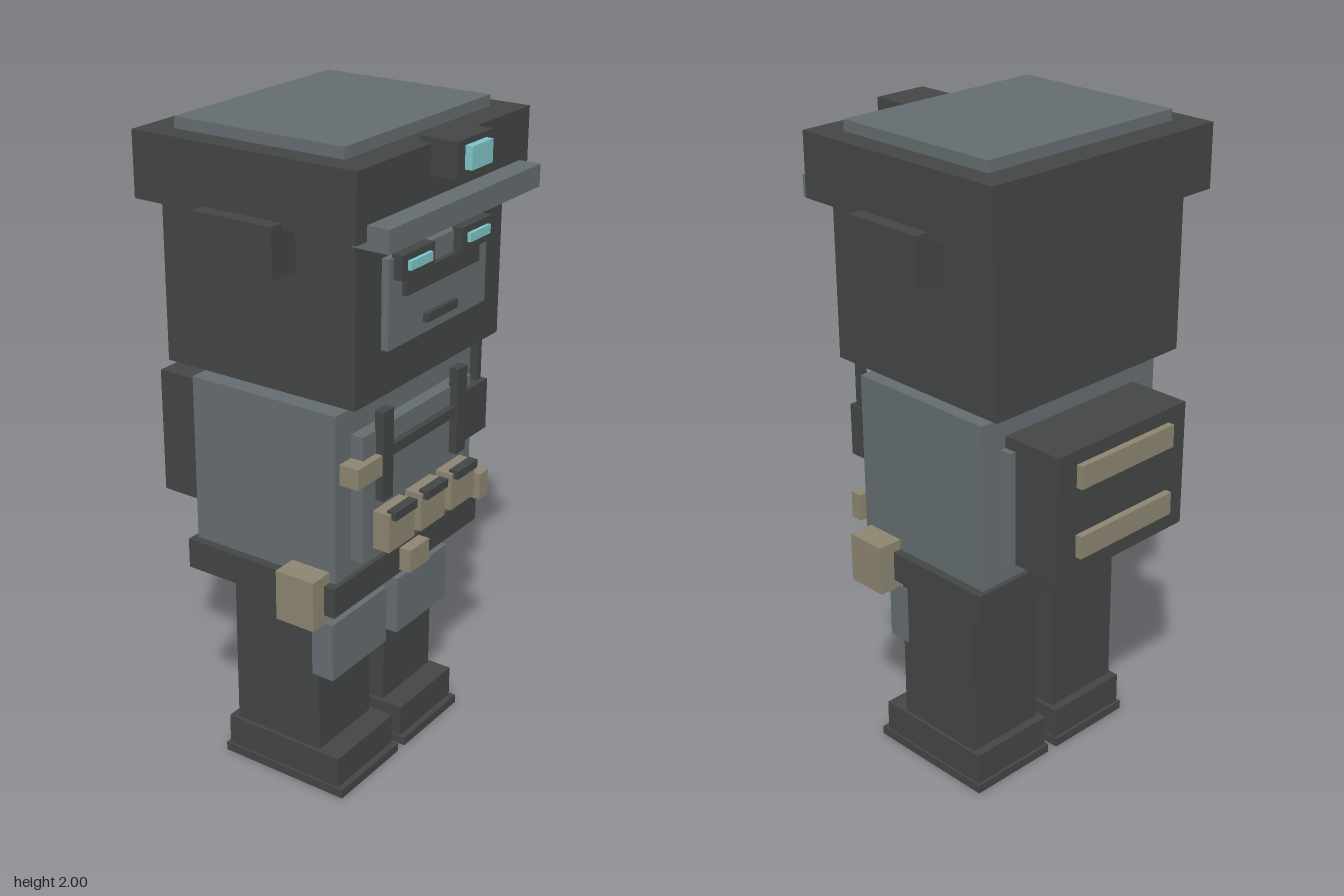
import * as THREE from 'three';

const material = (name, color) => {
  const m = new THREE.MeshStandardMaterial({ color });
  m.name = name;
  return m;
};

export function createModel() {
  const dark = material('charcoal', 0x434645);
  const grey = material('slate grey', 0x656d70);
  const tan = material('khaki', 0x8d8571);
  const glow = material('pale cyan', 0x7fc6ca);

  const model = new THREE.Group();
  model.name = 'blockFigure';
  const section = (name) => {
    const g = new THREE.Group();
    g.name = name;
    model.add(g);
    return g;
  };

  // Box given by its extents along each axis
  const box = (parent, name, mat, [x0, x1], [y0, y1], [z0, z1]) => {
    const mesh = new THREE.Mesh(new THREE.BoxGeometry(x1 - x0, y1 - y0, z1 - z0), mat);
    mesh.position.set((x0 + x1) / 2, (y0 + y1) / 2, (z0 + z1) / 2);
    mesh.name = name;
    parent.add(mesh);
  };
  // Box centred on x = 0
  const mid = (parent, name, mat, half, y, z) => box(parent, name, mat, [-half, half], y, z);
  // Mirrored pair of boxes, given by the +x one
  const pair = (parent, name, mat, [x0, x1], y, z) => {
    box(parent, name + 'Left', mat, [x0, x1], y, z);
    box(parent, name + 'Right', mat, [-x1, -x0], y, z);
  };

  // Legs and boots
  const legs = section('legs');
  pair(legs, 'sole', dark, [0.018, 0.32], [0, 0.028], [-0.19, 0.25]);
  pair(legs, 'boot', dark, [0.024, 0.313], [0.028, 0.128], [-0.18, 0.23]);
  pair(legs, 'leg', dark, [0.038, 0.302], [0.128, 0.66], [-0.152, 0.154]);
  pair(legs, 'kneePad', grey, [0.03, 0.307], [0.39, 0.577], [0.133, 0.207]);

  // Belt
  const belt = section('belt');
  mid(belt, 'beltBand', dark, 0.38, [0.655, 0.748], [-0.262, 0.265]);
  mid(belt, 'buckle', tan, 0.051, [0.665, 0.738], [0.262, 0.303]);
  pair(belt, 'hipPouch', tan, [0.29, 0.432], [0.625, 0.78], [0.1, 0.23]);

  // Torso and vest
  const torso = section('torso');
  mid(torso, 'chest', grey, 0.353, [0.745, 1.26], [-0.247, 0.25]);
  mid(torso, 'vestPlate', grey, 0.28, [0.795, 1.182], [0.245, 0.29]);
  pair(torso, 'strap', dark, [0.167, 0.217], [0.97, 1.24], [0.285, 0.315]);
  mid(torso, 'chestStrap', dark, 0.167, [1.092, 1.124], [0.287, 0.31]);
  for (const x of [-0.163, 0, 0.163]) {
    box(torso, 'pouch', tan, [x - 0.065, x + 0.065], [0.822, 0.94], [0.285, 0.345]);
    box(torso, 'pouchFlap', dark, [x - 0.055, x + 0.055], [0.922, 0.948], [0.33, 0.36]);
  }
  box(torso, 'shoulderTab', tan, [-0.335, -0.217], [1.05, 1.112], [0.245, 0.312]);
  box(torso, 'sideTool', tan, [0.3, 0.347], [0.77, 0.855], [0.285, 0.323]);
  box(torso, 'radio', dark, [0.2, 0.35], [0.99, 1.15], [0.248, 0.306]);
  box(torso, 'antenna', dark, [0.32, 0.343], [1.15, 1.32], [0.262, 0.287]);

  // Backpack
  const pack = section('backpack');
  mid(pack, 'backPlate', grey, 0.282, [0.8, 1.167], [-0.285, -0.245]);
  mid(pack, 'packBody', dark, 0.262, [0.815, 1.203], [-0.447, -0.247]);
  for (const y of [0.911, 1.126]) {
    mid(pack, 'packStrap', tan, 0.19, [y - 0.035, y + 0.035], [-0.468, -0.445]);
  }

  // Head and face
  const head = section('head');
  mid(head, 'neck', dark, 0.115, [1.25, 1.31], [-0.113, 0.115]);
  mid(head, 'skull', dark, 0.367, [1.298, 1.78], [-0.32, 0.322]);
  pair(head, 'earPiece', dark, [0.36, 0.469], [1.65, 1.795], [-0.13, 0.132]);
  mid(head, 'facePlate', grey, 0.247, [1.435, 1.69], [0.318, 0.345]);
  mid(head, 'browBar', dark, 0.185, [1.575, 1.63], [0.34, 0.36]);
  pair(head, 'eyeFrame', dark, [0.07, 0.226], [1.63, 1.7], [0.34, 0.373]);
  pair(head, 'eye', glow, [0.095, 0.201], [1.655, 1.681], [0.37, 0.384]);
  mid(head, 'mouth', dark, 0.077, [1.468, 1.494], [0.34, 0.36]);

  // Cap with visor and lamp
  const cap = section('cap');
  mid(cap, 'capBody', dark, 0.425, [1.777, 1.967], [-0.366, 0.365]);
  mid(cap, 'capTop', grey, 0.353, [1.96, 2], [-0.278, 0.278]);
  mid(cap, 'visor', grey, 0.38, [1.755, 1.82], [0.318, 0.433]);
  mid(cap, 'lampHousing', dark, 0.087, [1.882, 1.982], [0.33, 0.446]);
  mid(cap, 'lampLens', glow, 0.052, [1.902, 1.966], [0.444, 0.468]);

  return model;
}
